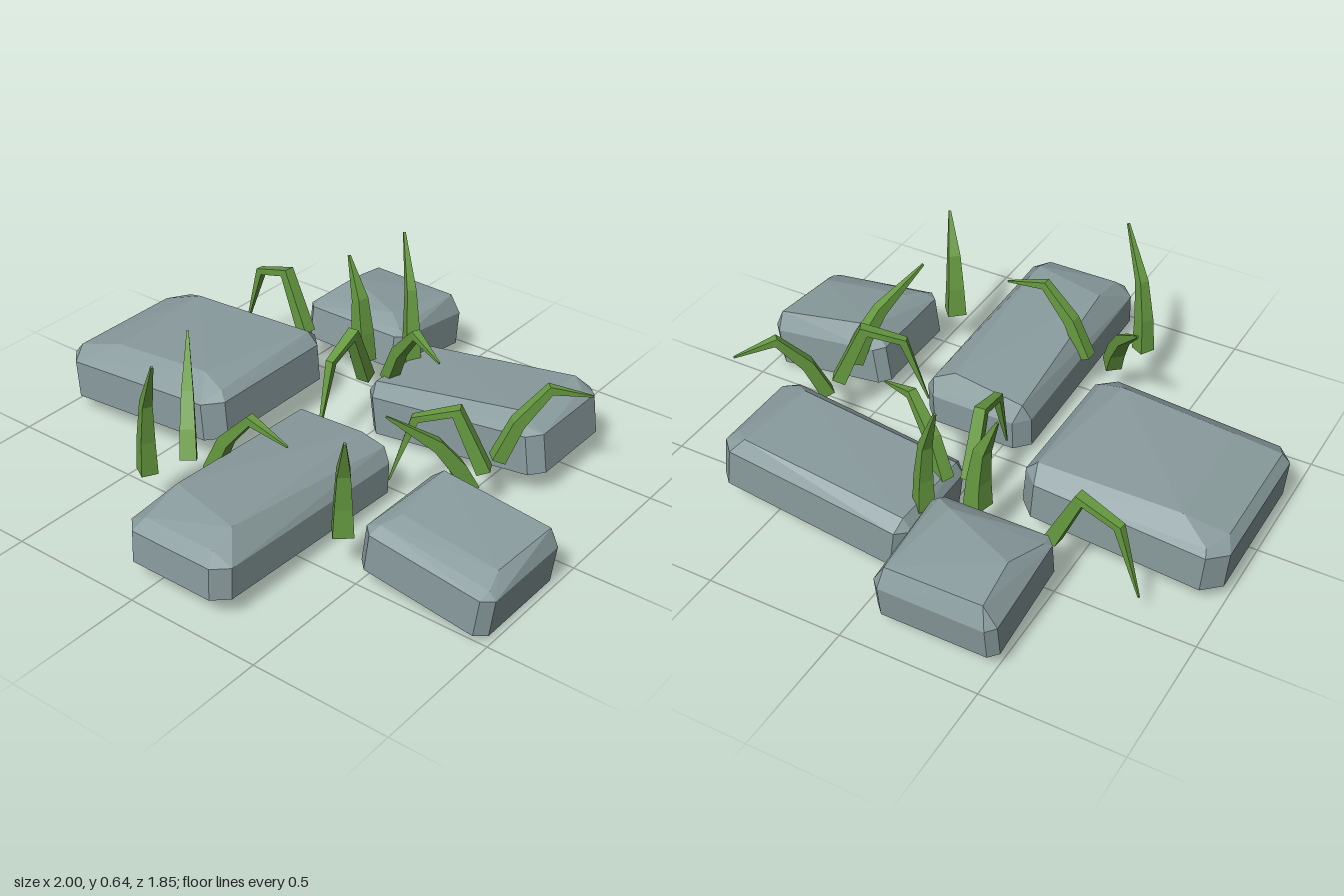
import * as THREE from 'three';
import { ConvexGeometry } from 'three/addons/geometries/ConvexGeometry.js';

const stoneMat = new THREE.MeshStandardMaterial({ color: 0x8a9c9e, flatShading: true });
const grassMat = new THREE.MeshStandardMaterial({ color: 0x669a40, flatShading: true });

// Paving stone: chamfered block on a tilted base, with a faceted top.
// base = height at x = z = 0, sx / sz = slope, top = list of [x, z, height above base]
function stone({ x0, x1, z0, z1, c, base, sx = 0, sz = 0, rim, top }) {
  const ring = [
    [x0 + c, z0], [x1 - c, z0], [x1, z0 + c], [x1, z1 - c],
    [x1 - c, z1], [x0 + c, z1], [x0, z1 - c], [x0, z0 + c],
  ];
  const place = (x, z, h) => new THREE.Vector3(
    x - sx * (h - rim), base + sx * x + sz * z + h, z - sz * (h - rim));
  const pts = [];
  for (const [x, z] of ring) pts.push(place(x, z, 0), place(x, z, rim));
  for (const [x, z, h] of top) pts.push(place(x, z, h));
  return new THREE.Mesh(new ConvexGeometry(pts), stoneMat);
}

// Blade profiles: [fraction of reach, height, thickness scale]
const PROFILES = {
  tall: [[0, 0.17, 1], [0.05, 0.3, 0.85], [0.25, 0.45, 0.6], [1, 0.64, 0.14]],
  medium: [[0, 0.17, 1.2], [0.05, 0.28, 1], [0.25, 0.41, 0.75], [1, 0.56, 0.14]],
  leaning: [[0, 0.17, 1], [0.15, 0.26, 0.9], [0.4, 0.36, 0.7], [1, 0.5, 0.12]],
  arched: [[0, 0.17, 0.85], [0.2, 0.31, 0.75], [0.53, 0.43, 0.55], [1, 0.39, 0.1]],
  drooping: [[0, 0.17, 0.85], [0.31, 0.39, 0.7], [0.74, 0.345, 0.5], [1, 0.09, 0.1]],
};

// Grass blade: square section swept along a bent profile from base to tip
function blade(kind, bx, bz, tx, tz) {
  const profile = PROFILES[kind];
  const path = profile.map(([t, y]) => new THREE.Vector3(bx + (tx - bx) * t, y, bz + (tz - bz) * t));
  const side = new THREE.Vector3(-(tz - bz), 0, tx - bx).normalize();
  const n = path.length, pos = [], index = [];
  path.forEach((p, i) => {
    const before = path[Math.max(i - 1, 0)], after = path[Math.min(i + 1, n - 1)];
    const tangent = after.clone().sub(before).normalize();
    const up = tangent.clone().cross(side);
    const r = 0.029 * profile[i][2];
    for (const [a, b] of [[1, 1], [-1, 1], [-1, -1], [1, -1]]) {
      const v = p.clone().addScaledVector(side, a * r).addScaledVector(up, b * r);
      pos.push(v.x, v.y, v.z);
    }
  });
  for (let i = 0; i < n - 1; i++) {
    for (let k = 0; k < 4; k++) {
      const a = i * 4 + k, b = i * 4 + (k + 1) % 4;
      index.push(a, b, b + 4, a, b + 4, a + 4);
    }
  }
  const e = (n - 1) * 4;
  index.push(0, 2, 1, 0, 3, 2, e, e + 1, e + 2, e, e + 2, e + 3);
  // side x up runs against the tangent, so flip every triangle if needed
  const [s, u] = [side, path[1].clone().sub(path[0]).cross(side)];
  if (s.clone().cross(u).dot(path[1].clone().sub(path[0])) < 0) index.reverse();
  const g = new THREE.BufferGeometry();
  g.setAttribute('position', new THREE.Float32BufferAttribute(pos, 3));
  g.setIndex(index);
  const flat = g.toNonIndexed();
  flat.computeVertexNormals();
  return new THREE.Mesh(flat, grassMat);
}

export function createModel() {
  const model = new THREE.Group();
  model.name = 'steppingStones';

  const stones = {
    rightStone: {
      x0: -1, x1: -0.27, z0: -0.33, z1: 0.3, c: 0.06, base: 0.137, sx: 0.077, rim: 0.14,
      top: [[-0.97, -0.22, 0.175], [-0.97, 0.23, 0.175], [-0.82, -0.25, 0.21], [-0.8, 0.2, 0.205],
        [-0.39, 0.2, 0.21], [-0.31, -0.27, 0.185], [-0.3, 0.22, 0.17], [-0.93, -0.31, 0.165]],
    },
    backStone: {
      x0: -0.51, x1: -0.07, z0: -0.925, z1: -0.51, c: 0.03, base: 0.188, sz: 0.137, rim: 0.125,
      top: [[-0.46, -0.885, 0.195], [-0.11, -0.885, 0.19], [-0.45, -0.71, 0.2], [-0.17, -0.585, 0.18],
        [-0.49, -0.56, 0.145], [-0.1, -0.54, 0.15]],
    },
    backLeftStone: {
      x0: -0.04, x1: 0.69, z0: -0.66, z1: -0.24, c: 0.045, base: 0.005, sx: 0.134, rim: 0.145,
      top: [[0.0, -0.615, 0.185], [0.61, -0.625, 0.195], [0.58, -0.31, 0.2], [-0.01, -0.29, 0.185],
        [0.66, -0.58, 0.175], [0.63, -0.27, 0.17]],
    },
    frontStone: {
      x0: -0.11, x1: 0.31, z0: 0.02, z1: 0.92, c: 0.05, base: 0.037, sz: 0.045, rim: 0.115,
      top: [[-0.05, 0.72, 0.2], [0.24, 0.79, 0.195], [0.2, 0.08, 0.2], [-0.08, 0.06, 0.175],
        [-0.04, 0.88, 0.155], [0.24, 0.88, 0.155], [0.28, 0.06, 0.165]],
    },
    leftStone: {
      x0: 0.515, x1: 1, z0: 0.08, z1: 0.5, c: 0.035, base: 0.145, sx: -0.135, rim: 0.14,
      top: [[0.57, 0.14, 0.208], [0.965, 0.12, 0.2], [0.95, 0.39, 0.185], [0.59, 0.39, 0.185],
        [0.56, 0.46, 0.165], [0.97, 0.46, 0.16]],
    },
  };
  for (const [name, spec] of Object.entries(stones)) {
    const mesh = stone(spec);
    mesh.name = name;
    model.add(mesh);
  }

  // Grass: kind, base x, base z, tip x, tip z
  const grass = new THREE.Group();
  grass.name = 'grass';
  const blades = [
    ['tall', -0.28, 0.62, -0.165, 0.685],
    ['tall', -0.02, -0.51, -0.115, -0.58],
    ['medium', 0.44, 0.49, 0.5, 0.56],
    ['medium', -0.17, -0.415, -0.255, -0.437],
    ['leaning', -0.22, 0.485, -0.41, 0.26],
    ['leaning', 0.61, 0.04, 0.45, 0.285],
    ['arched', -0.01, -0.36, 0.285, -0.245],
    ['arched', 0.59, -0.16, 0.81, -0.385],
    ['arched', -0.12, 0.475, 0.21, 0.48],
    ['drooping', -0.46, -0.44, -0.785, -0.475],
    ['drooping', -0.085, -0.32, -0.05, 0],
    ['drooping', 0.595, -0.075, 0.31, 0.07],
  ];
  blades.forEach((b, i) => {
    const mesh = blade(...b);
    mesh.name = `${b[0]}Blade${i + 1}`;
    grass.add(mesh);
  });
  model.add(grass);
  return model;
}
